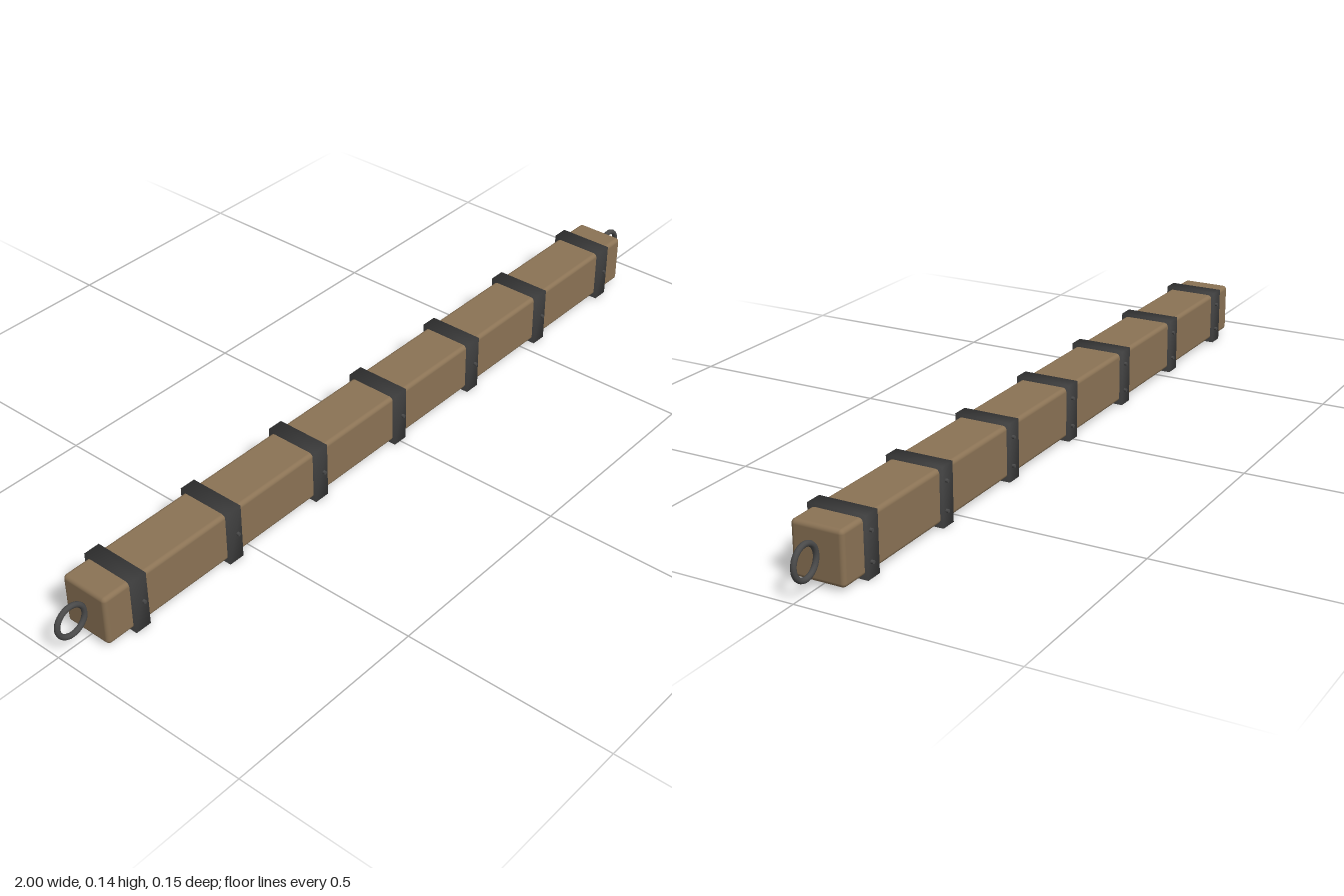
import * as THREE from 'three';
import { mergeVertices } from 'three/addons/utils/BufferGeometryUtils.js';
import { RoundedBoxGeometry } from 'three/addons/geometries/RoundedBoxGeometry.js';

const MID = 0.07; // height of the beam's axis

export function createModel() {
  const model = new THREE.Group();
  const wood = new THREE.MeshStandardMaterial({ color: 0x8b7355 });
  wood.name = 'wood';
  const iron = new THREE.MeshStandardMaterial({ color: 0x4a4a4a });
  iron.name = 'iron';

  function add(parent, name, geometry, material, x, y, z) {
    const mesh = new THREE.Mesh(geometry, material);
    mesh.name = name;
    mesh.position.set(x, y, z);
    parent.add(mesh);
    return mesh;
  }

  // Long timber with softened edges
  add(model, 'beam', new RoundedBoxGeometry(1.836, 0.123, 0.123, 3, 0.01), wood, 0, MID, 0);

  // Band block with shared corner normals, for a softly worn look
  let bandGeometry = new THREE.BoxGeometry(0.04, 0.138, 0.138);
  bandGeometry.deleteAttribute('normal');
  bandGeometry.deleteAttribute('uv');
  bandGeometry = mergeVertices(bandGeometry);
  bandGeometry.computeVertexNormals();

  // Stud lying along z
  const studGeometry = new THREE.CylinderGeometry(0.0042, 0.0042, 0.012, 10);
  studGeometry.rotateX(Math.PI / 2);

  // Seven iron bands: one stud in front, two behind
  for (let i = -3; i <= 3; i++) {
    const band = new THREE.Group();
    band.name = 'bandAssembly';
    band.position.set(i * 0.2765, MID, 0);
    add(band, 'band', bandGeometry, iron, 0, -0.001, 0);
    add(band, 'frontStud', studGeometry, iron, 0.007, 0, 0.069);
    for (const y of [-0.034, 0.034]) add(band, 'backStud', studGeometry, iron, 0.007, y, -0.069);
    model.add(band);
  }

  // Pull ring at each end
  const ringGeometry = new THREE.TorusGeometry(0.0365, 0.0065, 10, 32);
  for (const side of [-1, 1]) add(model, 'endRing', ringGeometry, iron, side * 0.957, MID, 0);

  return model;
}
